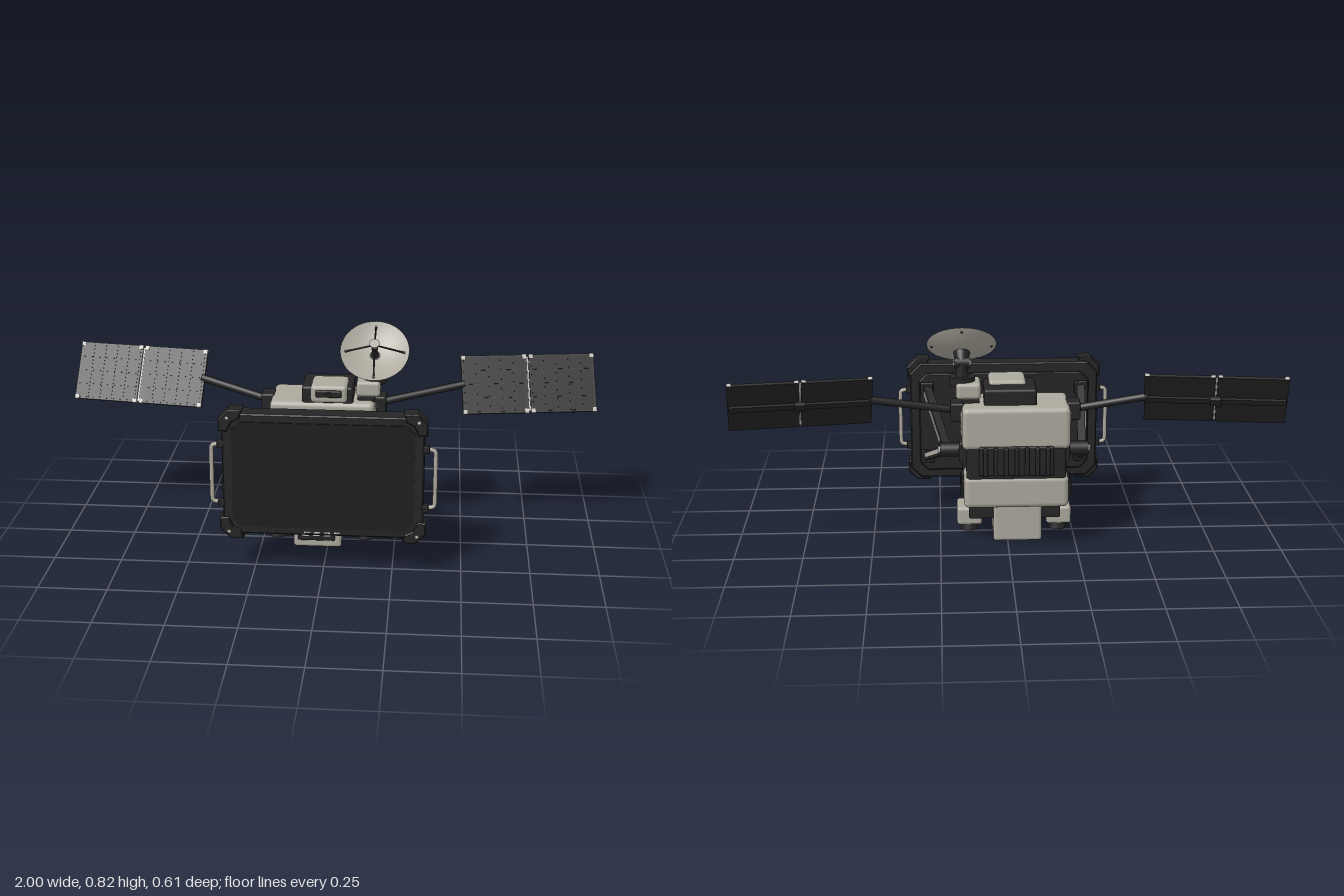
import * as THREE from 'three';
import { RoundedBoxGeometry } from 'three/addons/geometries/RoundedBoxGeometry.js';

const mat = (name, color, side = THREE.FrontSide) => {
  const m = new THREE.MeshStandardMaterial({ color, side });
  m.name = name;
  return m;
};

export function createModel() {
  const white = mat('warmWhite', 0xaca89d, THREE.DoubleSide);
  const dark = mat('charcoal', 0x252525);
  const screenMat = mat('screenBlack', 0x1e1e1f);
  const cellMat = mat('solarCell', 0x151517);
  const metal = mat('lightMetal', 0xc4c2bc);
  const V = (x, y, z) => new THREE.Vector3(x, y, z);

  const add = (parent, name, geo, m, x = 0, y = 0, z = 0) => {
    const mesh = new THREE.Mesh(geo, m);
    mesh.name = name;
    mesh.position.set(x, y, z);
    parent.add(mesh);
    return mesh;
  };
  // Box from its ranges, optionally rounded
  const box = (parent, name, m, [x0, x1], [y0, y1], [z0, z1], r = 0) => {
    const s = [x1 - x0, y1 - y0, z1 - z0];
    const geo = r ? new RoundedBoxGeometry(...s, 3, r) : new THREE.BoxGeometry(...s);
    return add(parent, name, geo, m, (x0 + x1) / 2, (y0 + y1) / 2, (z0 + z1) / 2);
  };
  const cyl = (parent, name, m, r0, r1, h, pos, axis = 'y', n = 24) => {
    const mesh = add(parent, name, new THREE.CylinderGeometry(r0, r1, h, n), m, ...pos);
    if (axis === 'x') mesh.rotation.z = -Math.PI / 2;
    if (axis === 'z') mesh.rotation.x = Math.PI / 2;
    return mesh;
  };
  const beam = (parent, name, m, a, b, w, h) => {
    const mesh = add(parent, name, new THREE.BoxGeometry(w, h, a.distanceTo(b)), m);
    mesh.position.copy(a).lerp(b, 0.5);
    mesh.lookAt(b);
    return mesh;
  };
  const rod = (parent, name, m, a, b, r) =>
    add(parent, name, new THREE.TubeGeometry(new THREE.LineCurve3(a, b), 1, r, 10), m);
  const plate = (parent, name, m, pts, z0, z1, bevel = 0) => {
    const geo = new THREE.ExtrudeGeometry(new THREE.Shape(pts.map(p => new THREE.Vector2(...p))), {
      depth: z1 - z0 - 2 * bevel, bevelEnabled: bevel > 0, bevelSize: bevel,
      bevelThickness: bevel, bevelOffset: -bevel, bevelSegments: 1 });
    return add(parent, name, geo, m, 0, 0, z0 + bevel);
  };
  const octagon = (w, h, c) => [[-w + c, -h], [w - c, -h], [w, -h + c], [w, h - c],
    [w - c, h], [-w + c, h], [-w, h - c], [-w, -h + c]];

  const model = new THREE.Group();
  model.name = 'satellite';

  // Main body: stacked rounded blocks around a dark core
  const body = new THREE.Group();
  body.name = 'body';
  body.position.x = -0.027;
  model.add(body);
  box(body, 'core', dark, [-0.18, 0.18], [0.2, 0.42], [-0.215, -0.01], 0.012);
  box(body, 'upperBlock', white, [-0.195, 0.195], [0.39, 0.547], [-0.222, 0], 0.02);
  box(body, 'lowerBlock', white, [-0.19, 0.19], [0.168, 0.288], [-0.22, -0.005], 0.02);
  box(body, 'undersidePlate', dark, [-0.13, 0.13], [0.162, 0.17], [-0.185, -0.02]);
  box(body, 'backPanel', dark, [-0.135, 0.135], [0.295, 0.405], [-0.228, -0.2], 0.006);
  for (let i = 0; i < 7; i++) {
    const x = (i - 3) * 0.0375;
    box(body, 'backRib', dark, [x - 0.008, x + 0.008], [0.297, 0.403], [-0.238, -0.22], 0.004);
  }

  // Roof equipment: dark deck, sensor box and dish mount
  box(body, 'roofDeck', dark, [-0.075, 0.115], [0.53, 0.605], [-0.178, -0.01], 0.01);
  box(body, 'sensorBox', white, [-0.04, 0.095], [0.553, 0.62], [-0.11, 0.024], 0.014);
  box(body, 'sensorWindow', dark, [-0.02, 0.075], [0.578, 0.604], [0.02, 0.034], 0.005);
  cyl(body, 'sensorLens', dark, 0.01, 0.01, 0.02, [0.0275, 0.591, 0.031], 'z');
  box(body, 'dishMount', white, [0.125, 0.215], [0.56, 0.62], [-0.15, -0.035], 0.014);
  box(body, 'dishMountFoot', dark, [0.13, 0.195], [0.54, 0.565], [-0.145, -0.04], 0.006);

  // Lower pod with front port panel
  box(body, 'lowerPod', white, [-0.1, 0.08], [0, 0.165], [-0.116, 0.083], 0.012);
  box(body, 'portPanel', dark, [-0.083, 0.057], [0.033, 0.083], [0.08, 0.098], 0.006);
  for (const x of [-0.053, -0.013, 0.027])
    box(body, 'port', metal, [x - 0.013, x + 0.013], [0.053, 0.061], [0.096, 0.1]);

  for (const s of [-1, 1]) {
    const side = new THREE.Group();
    side.name = s > 0 ? 'leftSide' : 'rightSide';
    body.add(side);
    const sb = (name, m, [a, b], y, z, r) =>
      box(side, name, m, s > 0 ? [a, b] : [-b, -a], y, z, r);
    // Vented side panel
    sb('sidePanel', dark, [0.17, 0.194], [0.18, 0.31], [-0.09, -0.035]);
    sb('ventPanel', dark, [0.17, 0.197], [0.2, 0.272], [-0.198, -0.078], 0.006);
    for (let i = 0; i < 6; i++) {
      const z = -0.185 + i * 0.0185;
      sb('ventSlat', dark, [0.195, 0.202], [0.208, 0.264], [z - 0.005, z + 0.005]);
    }
    // Access hatch with corner screws
    sb('hatch', white, [0.19, 0.199], [0.43, 0.52], [-0.17, -0.066], 0.004);
    for (const y of [0.442, 0.508]) for (const z of [-0.155, -0.081])
      cyl(side, 'hatchScrew', metal, 0.003, 0.003, 0.004, [s * 0.2, y, z], 'x', 8);
    // Thruster unit
    sb('thrusterBlock', dark, [0.07, 0.17], [0.08, 0.2], [-0.088, 0.046], 0.006);
    sb('thrusterHousing', white, [0.12, 0.214], [0.043, 0.112], [-0.057, 0.063], 0.012);
    sb('thrusterSlot', dark, [0.142, 0.192], [0.06, 0.082], [0.06, 0.068], 0.003);
    sb('slotBar', metal, [0.15, 0.184], [0.068, 0.073], [0.066, 0.07]);
    cyl(side, 'nozzle', dark, 0.026, 0.033, 0.034, [s * 0.167, 0.029, 0]);
    // Pivot carrying the display struts
    sb('pivotPlate', dark, [0.17, 0.205], [0.303, 0.378], [-0.09, -0.02], 0.006);
    cyl(side, 'pivot', dark, 0.026, 0.026, 0.08, [s * 0.235, 0.34, -0.045], 'x');
    cyl(side, 'pivotCap', metal, 0.013, 0.013, 0.008, [s * 0.278, 0.34, -0.045], 'x', 6);
    // Solar arm bracket
    sb('armBracket', dark, [0.185, 0.235], [0.48, 0.548], [-0.155, -0.08], 0.008);

    // Struts from pivot to display
    const ox = body.position.x;
    for (const y of [0.505, 0.235]) {
      const a = V(ox + s * 0.25, 0.34, -0.045), b = V(s * 0.295, y, 0.2);
      beam(model, 'strut', dark, a, b, 0.03, 0.032);
      const o = V(s * 0.0135, 0, 0);
      const inset = (t) => a.clone().lerp(b, t).add(o);
      beam(model, 'strutInlay', white, inset(0.13), inset(0.93), 0.009, 0.018);
      box(model, 'strutBracket', dark, [s * 0.295 - 0.025, s * 0.295 + 0.025],
        [y - 0.025, y + 0.025], [0.188, 0.22], 0.004);
    }

    // Solar arm
    rod(model, 'solarArm', dark, V(ox + s * 0.21, 0.515, -0.12), V(s * 0.5, 0.575, -0.178), 0.014);
    // Solar wing, built flat and then tilted
    const wing = new THREE.Group();
    wing.name = 'solarWing';
    wing.position.set(s * 0.74, 0.571, -0.21);
    wing.rotation.set(-0.53, s * 0.14, 0, 'YXZ');
    model.add(wing);
    for (const h of [-1, 1]) {
      const cx = h * 0.129;
      box(wing, 'solarPanel', dark, [cx - 0.125, cx + 0.125], [-0.112, 0.112], [-0.006, 0.006]);
      for (let i = 0; i < 5; i++) for (let j = 0; j < 4; j++) {
        const x = cx + (i - 2) * 0.047, y = (j - 1.5) * 0.053;
        box(wing, 'solarCell', cellMat, [x - 0.0222, x + 0.0222], [y - 0.0252, y + 0.0252], [0.005, 0.0075]);
      }
      for (const ex of [-1, 1]) for (const ey of [-1, 1]) {
        const x = cx + ex * 0.117, y = ey * 0.105;
        box(wing, 'cornerClip', metal, [x - 0.008, x + 0.008], [y - 0.008, y + 0.008], [-0.004, 0.009]);
      }
    }
    box(wing, 'hingeRod', metal, [-0.003, 0.003], [-0.105, 0.105], [-0.004, 0.004]);
    box(wing, 'backSpar', dark, [-0.25, 0.25], [-0.012, 0.012], [-0.016, -0.004]);
    box(wing, 'backHinge', dark, [-0.02, 0.02], [-0.018, 0.018], [-0.022, -0.004], 0.004);
  }

  // Front display with chamfered frame
  const display = new THREE.Group();
  display.name = 'display';
  display.position.y = 0.37;
  model.add(display);
  plate(display, 'frame', dark, octagon(0.36, 0.229, 0.04), 0.216, 0.29, 0.005);
  plate(display, 'backCover', dark, octagon(0.325, 0.193, 0.03), 0.2, 0.22, 0.004);
  plate(display, 'screen', screenMat, octagon(0.325, 0.2, 0.03), 0.286, 0.294);
  const guard = [[0.285, 0.245], [0.335, 0.245], [0.37, 0.21], [0.37, 0.165], [0.338, 0.165], [0.322, 0.2], [0.295, 0.213]];
  for (const sx of [-1, 1]) {
    for (const sy of [-1, 1]) {
      plate(display, 'cornerGuard', dark, guard.map(([x, y]) => [sx * x, sy * y]), 0.235, 0.299, 0.004);
      cyl(display, 'guardBolt', metal, 0.006, 0.006, 0.003, [sx * 0.338, sy * 0.217, 0.2995], 'z', 8);
      box(display, 'handleFoot', dark, [sx * 0.365 - 0.012, sx * 0.365 + 0.012],
        [sy * 0.112 - 0.013, sy * 0.112 + 0.013], [0.262, 0.292], 0.003);
    }
    // Grab handle
    const path = new THREE.CatmullRomCurve3([[0.36, -0.11], [0.385, -0.11], [0.396, -0.105], [0.399, -0.09],
      [0.399, 0.09], [0.396, 0.105], [0.385, 0.11], [0.36, 0.11]].map(([x, y]) => V(sx * x, y, 0.278)),
    false, 'catmullrom', 0.2);
    add(display, 'handle', new THREE.TubeGeometry(path, 40, 0.008, 10), white);
  }
  for (let i = -1; i <= 2; i++)
    box(display, 'statusLight', metal, [i * 0.036 - 0.031, i * 0.036 - 0.009], [-0.219, -0.214], [0.288, 0.292]);

  // Dish stand
  const dx = 0.165;
  cyl(model, 'dishBase', dark, 0.047, 0.047, 0.03, [dx, 0.621, -0.092]);
  cyl(model, 'dishColumn', dark, 0.02, 0.024, 0.06, [dx, 0.66, -0.092]);
  cyl(model, 'dishPivot', dark, 0.021, 0.021, 0.055, [dx, 0.685, -0.092], 'x');
  for (const s of [-1, 1])
    cyl(model, 'dishPivotCap', metal, 0.012, 0.012, 0.006, [dx + s * 0.029, 0.685, -0.092], 'x', 6);

  // Dish with feed and struts, built along +y and tilted forward
  const dish = new THREE.Group();
  dish.name = 'dish';
  dish.position.set(dx, 0.714, -0.065);
  dish.rotation.x = 0.729;
  model.add(dish);
  const R = 0.127, bowl = r => 0.035 * (r / R) ** 2;
  const profile = [];
  for (let i = 0; i <= 10; i++) profile.push(new THREE.Vector2(R * i / 10, bowl(R * i / 10)));
  add(dish, 'bowl', new THREE.LatheGeometry(profile, 48), white);
  cyl(dish, 'dishNeck', dark, 0.03, 0.022, 0.04, [0, -0.019, 0]);
  cyl(dish, 'feedStem', dark, 0.008, 0.014, 0.05, [0, 0.025, 0], 'y', 16);
  cyl(dish, 'feedHorn', white, 0.019, 0.012, 0.022, [0, 0.076, 0], 'y', 16);
  cyl(dish, 'feedCollar', dark, 0.012, 0.012, 0.02, [0, 0.057, 0], 'y', 16);
  for (let i = 0; i < 4; i++) {
    const c = Math.cos(i * Math.PI / 2), s = Math.sin(i * Math.PI / 2), r = 0.108;
    rod(dish, 'feedStrut', dark, V(c * r, bowl(r), s * r), V(c * 0.01, 0.07, s * 0.01), 0.0032);
    cyl(dish, 'strutFoot', dark, 0.005, 0.005, 0.006, [c * r, bowl(r) + 0.001, s * r], 'y', 8);
  }
  return model;
}
